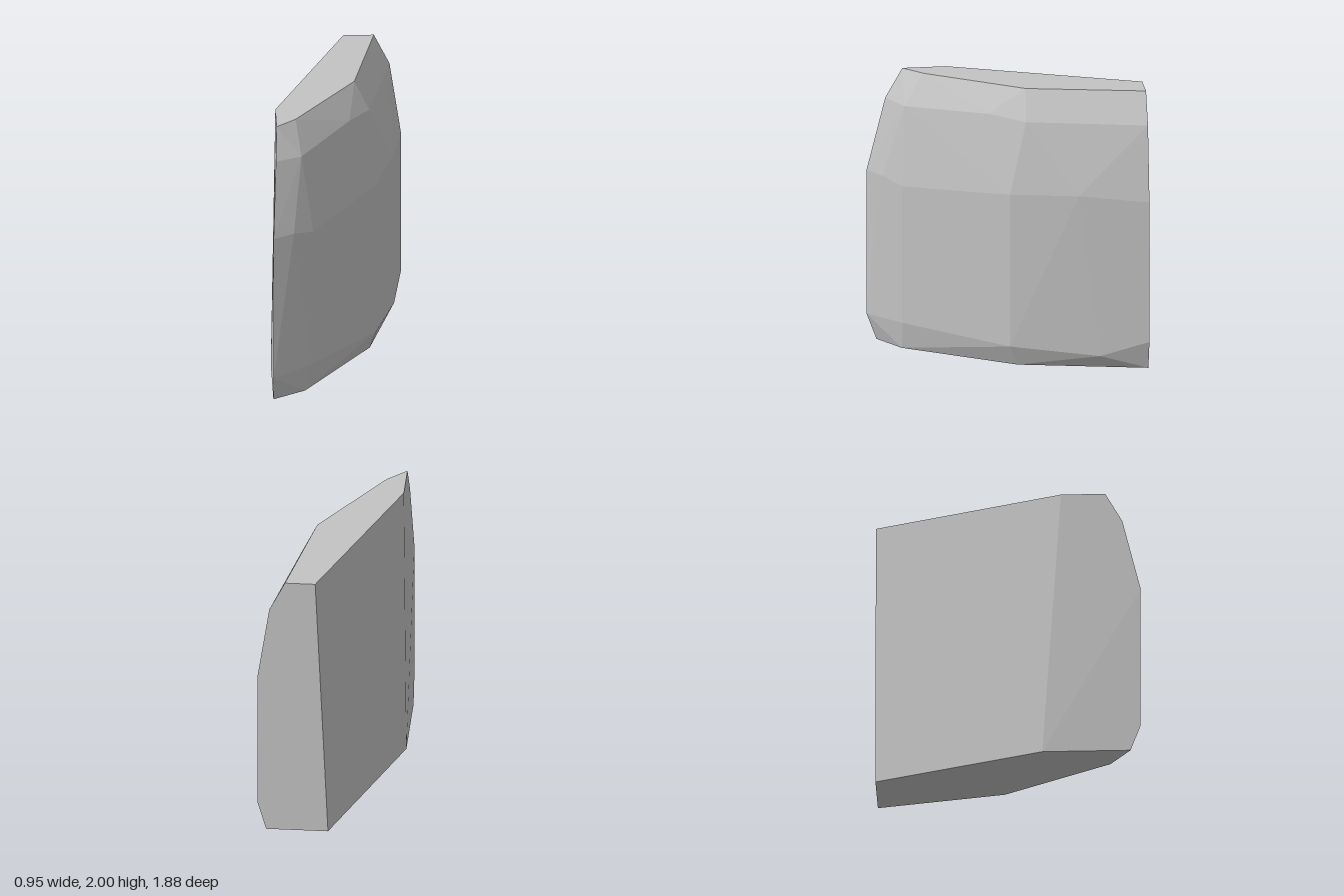
import * as THREE from 'three';
import { ConvexGeometry } from 'three/addons/geometries/ConvexGeometry.js';

// Corner rings of the faceted slab, bottom to top: [x, y, z]
const rings = [
  // flat base
  [[-0.02, 0, -0.94], [0.415, 0, -0.94], [0.228, 0, -0.04], [-0.25, 0, 0.72], [-0.475, 0, 0.87], [-0.475, 0, 0.25]],
  // lower bevel
  [[0.475, 0.21, -0.94], [0.415, 0.1, -0.6], [0.273, 0.15, 0.02], [-0.2, 0.2, 0.72], [-0.475, 0.19, 0.94]],
  // shoulder
  [[0.475, 1.24, -0.94], [0.4, 1.28, -0.45], [0.273, 1.27, 0.02], [-0.19, 1.21, 0.72], [-0.33, 1.25, 0.845], [-0.475, 1.25, 0.94]],
  // upper bevel
  [[0.393, 1.78, -0.94], [0.225, 1.785, -0.1], [0.08, 1.81, 0.15], [-0.273, 1.775, 0.7], [-0.455, 1.785, 0.81]],
  // flat top
  [[0.07, 2, -0.94], [0.283, 2, -0.94], [0.122, 2, -0.11], [-0.31, 2, 0.56], [-0.447, 2, 0.69], [-0.447, 2, 0.38]],
];

export function createModel() {
  const group = new THREE.Group();
  group.name = 'stoneSlab';

  const stone = new THREE.MeshStandardMaterial({ color: 0xc3c3c3, flatShading: true });
  stone.name = 'light grey stone';

  // Every corner is convex, so the hull of the rings gives the flat facets
  const points = rings.flat().map((p) => new THREE.Vector3(...p));
  const slab = new THREE.Mesh(new ConvexGeometry(points), stone);
  slab.name = 'slab';
  group.add(slab);

  return group;
}
